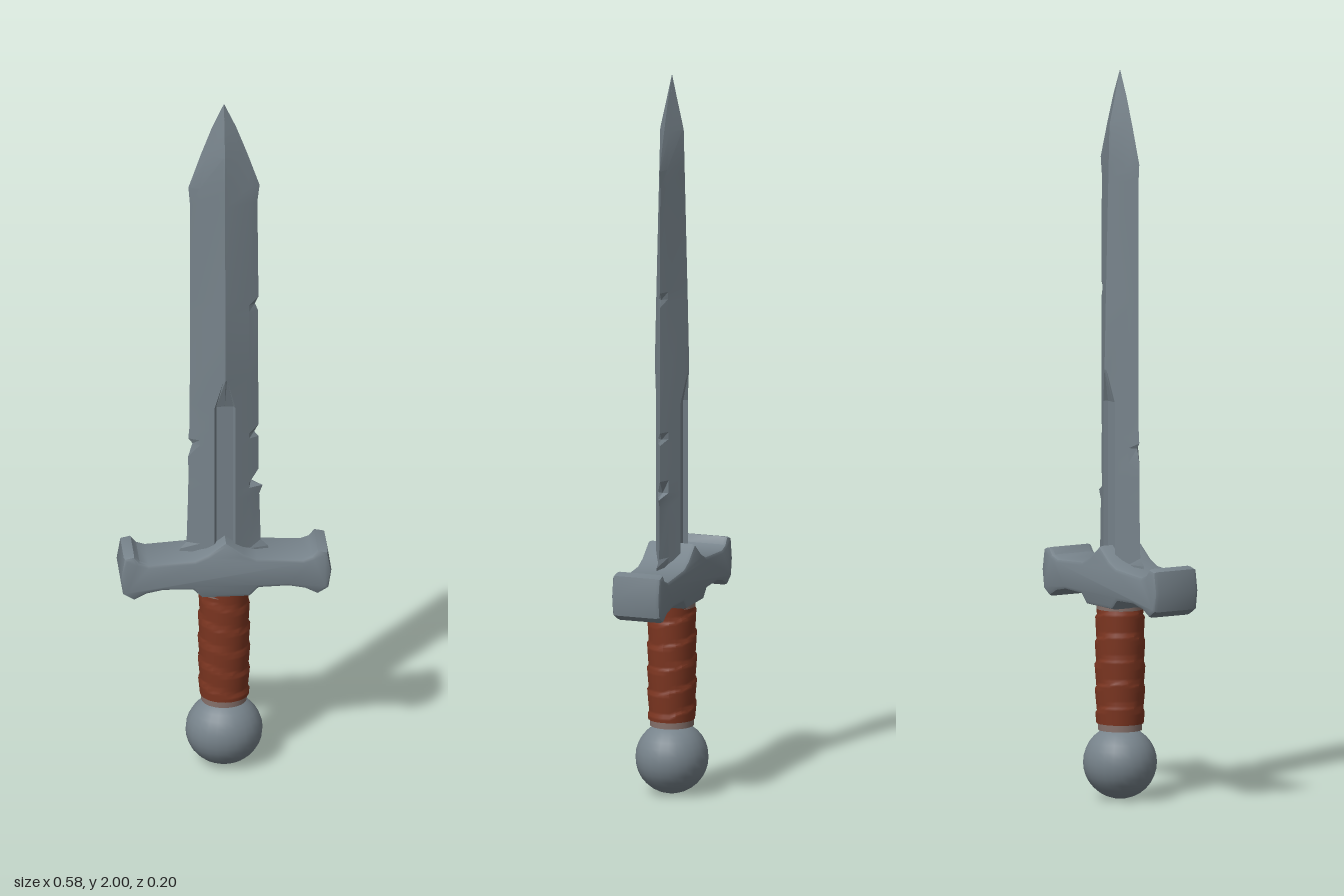
import * as THREE from 'three';
import { toCreasedNormals } from 'three/addons/utils/BufferGeometryUtils.js';

const { clamp, lerp } = THREE.MathUtils;

const mat = (name, color) => {
  const m = new THREE.MeshStandardMaterial({ color });
  m.name = name;
  return m;
};

// Blade: diamond sections stacked from the guard up to the point
const bladeWidth = y => (y < 1.75 ? 0.096 : Math.max(0.0005, 0.097 * ((2 - y) / 0.25) ** 0.85));
const ridgeHeight = y => (y < 1.85
  ? lerp(0.05, 0.034, clamp((y - 1.2) / 0.65, 0, 1))
  : Math.max(0.0005, 0.034 * (2 - y) / 0.15));

function bladeSection(y, left, right) {
  const w = bladeWidth(y), ridge = ridgeHeight(y);
  const fuller = y < 1.1;
  const f = w * (fuller ? 0.3 : 0.06);
  const front = [-0.7 * w, -f, -0.8 * f, 0, 0.8 * f, f, 0.7 * w].map((x, i) => {
    const inFuller = fuller && i > 1 && i < 5;
    return [x, inFuller ? 0.024 : ridge * (1 - Math.abs(x) / w)];
  });
  const back = front.map(([x, z]) => [x, -z]).reverse();
  return [[-left, 0], ...front, [right, 0], ...back].map(([x, z]) => [x, y, z]);
}

function bladeGeometry() {
  // Height, left edge and right edge, with the nicks in the edges
  const edges = [
    [0.60, 0.13, 0.13], [0.65, 0.12, 0.12], [0.67, 0.102, 0.10], [0.81, 0.098, 0.096],
    [0.835, 0.098, 0.105], [0.85, 0.097, 0.073], [0.885, 0.097, 0.094], [0.93, 0.098, 0.094],
    [0.97, 0.086, 0.094], [0.985, 0.097, 0.094], [1.00, 0.096, 0.082], [1.02, 0.094, 0.094],
    [1.09, 0.094, 0.094], [1.18, 0.093, 0.093], [1.37, 0.092, 0.092], [1.39, 0.092, 0.084],
    [1.41, 0.092, 0.094], [1.70, 0.093, 0.091],
  ];
  const tip = [1.75, 1.85, 1.93, 2].map(y => [y, bladeWidth(y), bladeWidth(y)]);
  const sections = [...edges, ...tip].map(row => bladeSection(...row));
  const n = sections[0].length, index = [];
  for (let j = 0; j < sections.length - 1; j++) {
    for (let i = 0; i < n; i++) {
      const a = j * n + i, b = j * n + (i + 1) % n;
      index.push(a, b, b + n, a, b + n, a + n);
    }
  }
  const g = new THREE.BufferGeometry();
  g.setAttribute('position', new THREE.Float32BufferAttribute(sections.flat(2), 3));
  g.setIndex(index);
  return toCreasedNormals(g, 0.2);
}

// Crossguard: mirrored outline with flared ends and a peak in the middle
function guardGeometry() {
  const half = [
    [0, 0.697], [0.05, 0.66], [0.085, 0.645], [0.21, 0.637], [0.235, 0.645], [0.25, 0.664],
    [0.278, 0.658], [0.288, 0.60], [0.28, 0.548], [0.25, 0.53], [0.215, 0.548],
    [0.17, 0.557], [0.09, 0.555], [0.065, 0.53],
  ];
  const left = half.slice(1).reverse().map(([x, y]) => [-x, y]);
  const outline = [...half, ...left].map(([x, y]) => new THREE.Vector2(x, y));
  const g = new THREE.ExtrudeGeometry(new THREE.Shape(outline), {
    depth: 0.116, bevelThickness: 0.012, bevelSize: 0.01, bevelOffset: -0.01, bevelSegments: 2,
  });
  g.translate(0, 0, -0.058);
  return toCreasedNormals(g, 0.6);
}

// Grip: cylinder swollen by a slanted, overlapping wrap
function gripGeometry() {
  const g = new THREE.CylinderGeometry(1, 1, 0.325, 24, 48, true);
  const p = g.attributes.position;
  for (let i = 0; i < p.count; i++) {
    const x = p.getX(i), y = p.getY(i), z = p.getZ(i);
    const turn = y / 0.065 + 0.25 * x + 0.15 * z;
    const wrap = turn - Math.floor(turn);
    const r = 0.064 + 0.005 * wrap + 0.003 * Math.cos(y * 9);
    p.setXYZ(i, x * r, y, z * r * 0.95);
  }
  return toCreasedNormals(g, 0.8);
}

export function createModel() {
  const steel = mat('steel', 0x77838b);
  const leather = mat('leather', 0x7d3621);
  const band = mat('grip band', 0x85706a);
  const model = new THREE.Group();
  model.name = 'sword';
  const add = (name, geometry, material, y = 0) => {
    const m = new THREE.Mesh(geometry, material);
    m.name = name;
    m.position.y = y;
    model.add(m);
    return m;
  };

  add('blade', bladeGeometry(), steel);
  add('crossguard', guardGeometry(), steel);
  add('grip', gripGeometry(), leather, 0.37);

  // Bands closing both ends of the grip
  for (const [name, y, r] of [['lowerBand', 0.2, 0.062], ['upperBand', 0.532, 0.066]]) {
    add(name, new THREE.CylinderGeometry(r, r, 0.022, 24), band, y).scale.z = 0.96;
  }

  // Pommel
  const pommel = add('pommel', new THREE.SphereGeometry(0.1, 24, 16), steel, 0.1);
  pommel.scale.set(1.05, 1, 0.99);
  return model;
}
